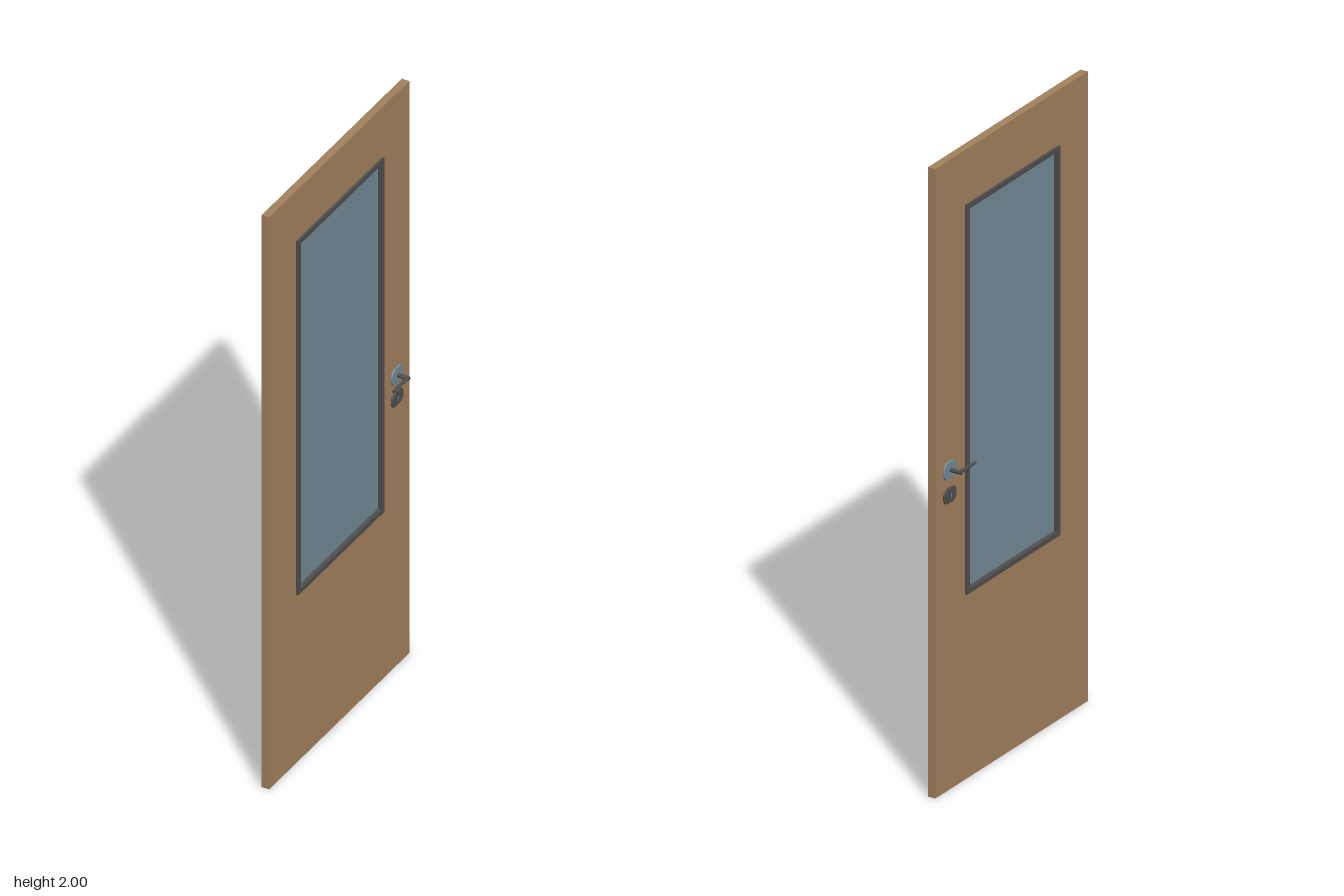
import * as THREE from 'three';

export function createModel() {
  const mat = (name, color) => Object.assign(new THREE.MeshStandardMaterial({ color }), { name });
  const wood = mat('wood', 0xa5835e);
  const glass = mat('glass', 0x748c98);
  const dark = mat('darkMetal', 0x505050);

  const door = new THREE.Group();
  door.name = 'door';
  const add = (parent, name, geo, material) => {
    const m = new THREE.Mesh(geo, material);
    m.name = name;
    parent.add(m);
    return m;
  };

  // Rectangle outline; u runs along the door width, v is height
  const rect = (T, u, v0, v1) => {
    const s = new T();
    s.moveTo(-u, v0);
    s.lineTo(u, v0);
    s.lineTo(u, v1);
    s.lineTo(-u, v1);
    s.closePath();
    return s;
  };
  // Slab with an opening, extruded and centred through the door thickness
  const slab = (shape, depth) =>
    new THREE.ExtrudeGeometry(shape, { depth, bevelEnabled: false })
      .translate(0, 0, -depth / 2).rotateY(Math.PI / 2);

  // Leaf with window opening
  const leaf = rect(THREE.Shape, 0.405, 0, 2);
  leaf.holes.push(rect(THREE.Path, 0.24, 0.6, 1.815));
  add(door, 'leaf', slab(leaf, 0.025), wood);

  // Window frame and pane
  const frame = rect(THREE.Shape, 0.249, 0.589, 1.826);
  frame.holes.push(rect(THREE.Path, 0.234, 0.604, 1.811));
  add(door, 'windowFrame', slab(frame, 0.04), dark);
  add(door, 'windowPane', new THREE.BoxGeometry(0.012, 1.215, 0.476).translate(0, 1.2075, 0), glass);

  // Rounded plate with a bevelled outer rim, lying on the +x face
  const plate = (w, h, r) => {
    const s = new THREE.Shape(), b = 0.002;
    const x = w / 2 - b, y = h / 2 - b;
    s.moveTo(-x + r, -y);
    s.lineTo(x - r, -y);
    s.absarc(x - r, -y + r, r, -Math.PI / 2, 0);
    s.absarc(x - r, y - r, r, 0, Math.PI / 2);
    s.absarc(-x + r, y - r, r, Math.PI / 2, Math.PI);
    s.absarc(-x + r, -y + r, r, Math.PI, Math.PI * 1.5);
    return new THREE.ExtrudeGeometry(s, {
      depth: 0.003, bevelThickness: b, bevelSize: b, bevelSegments: 2, curveSegments: 5,
    }).rotateY(Math.PI / 2).translate(0.0125, 0, 0);
  };

  // Matching handle set on each side
  for (const side of [1, -1]) {
    const set = new THREE.Group();
    set.name = side > 0 ? 'leftHandleSet' : 'rightHandleSet';
    // Turning about the handle axis puts the second set on the other face
    const face = (geo) => (side > 0 ? geo : geo.rotateY(Math.PI));
    const at = (mesh, y) => mesh.position.set(0, y, -0.331);

    at(add(set, 'rosette', face(plate(0.068, 0.056, 0.022)), glass), 1.017);
    at(add(set, 'keyPlate', face(plate(0.066, 0.048, 0.018)), dark), 0.937);
    at(add(set, 'keyhole', face(new THREE.BoxGeometry(0.001, 0.014, 0.004).translate(0.0197, 0, 0)), glass), 0.937);

    const neck = new THREE.CylinderGeometry(0.0065, 0.0065, 0.045, 12).rotateZ(Math.PI / 2);
    at(add(set, 'handleNeck', face(neck.translate(0.0325, 0, 0)), dark), 1.017);

    // Lever tapers toward its tip, reaching toward the window
    const lever = new THREE.CylinderGeometry(0.004, 0.0065, 0.082, 12).rotateX(Math.PI / 2);
    at(add(set, 'lever', lever.translate(side * 0.0485, 0, 0.041), dark), 1.017);
    door.add(set);
  }
  return door;
}
